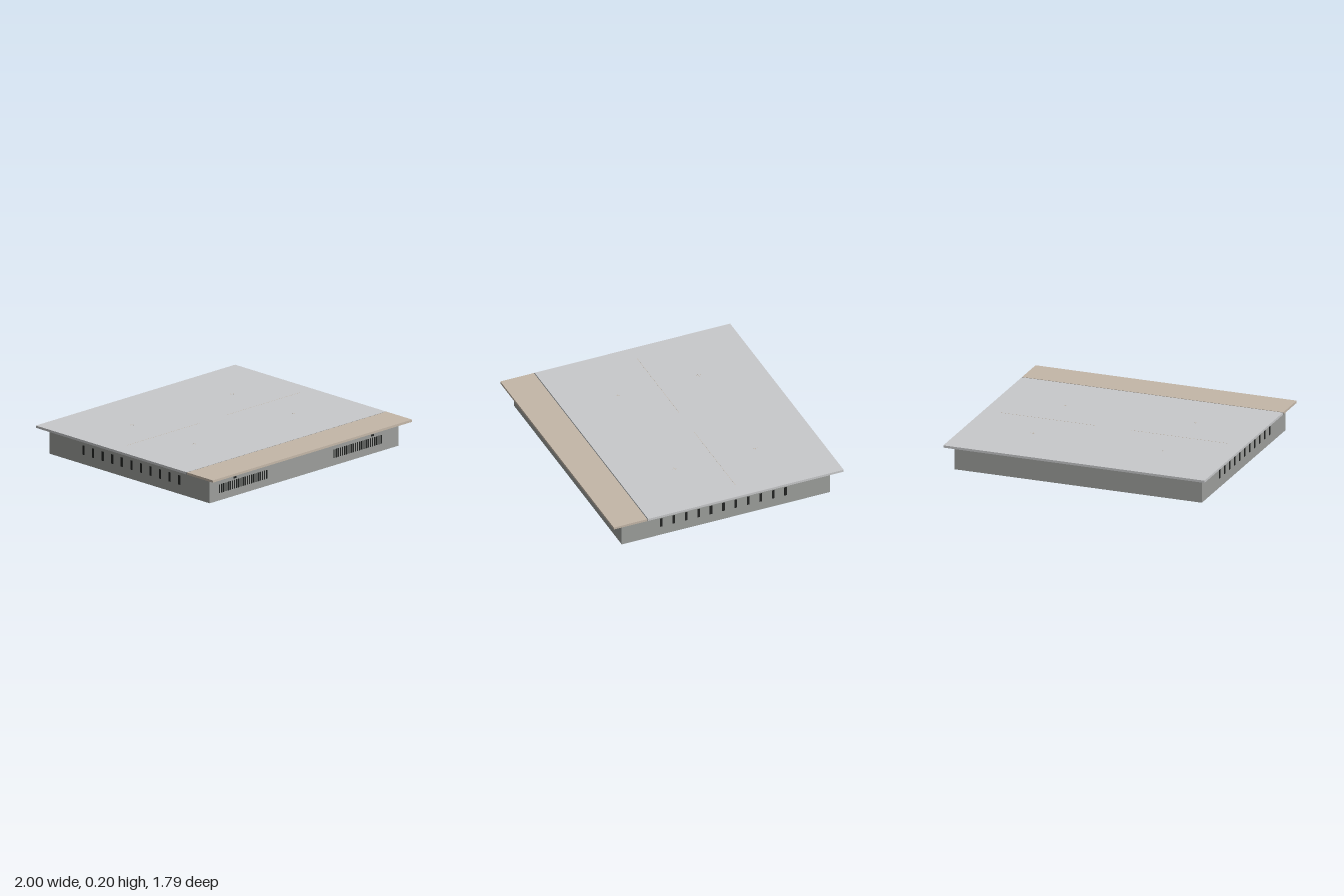
import * as THREE from 'three';

const paint = (name, color) => {
  const m = new THREE.MeshStandardMaterial({ color });
  m.name = name;
  return m;
};

export function createModel() {
  const model = new THREE.Group();
  model.name = 'builtInCooktop';
  const glass = paint('silverGlass', 0xc8c9cb);
  const tan = paint('tanGlass', 0xc4b7a8);
  const steel = paint('greySteel', 0x9c9e9b);
  const dark = paint('darkSlot', 0x222423);
  const seamGrey = paint('seamGrey', 0x5c6062);

  // Box given by its extents along each axis
  const box = (name, mat, [x0, x1], [y0, y1], [z0, z1], parent = model) => {
    const mesh = new THREE.Mesh(new THREE.BoxGeometry(x1 - x0, y1 - y0, z1 - z0), mat);
    mesh.position.set((x0 + x1) / 2, (y0 + y1) / 2, (z0 + z1) / 2);
    mesh.name = name;
    parent.add(mesh);
    return mesh;
  };
  const group = (name) => {
    const g = new THREE.Group();
    g.name = name;
    model.add(g);
    return g;
  };
  const around = (c, size) => [c - size / 2, c + size / 2];

  // Housing and the two-part top plate with a narrow seam
  const top = 0.203;
  box('housing', steel, [-0.947, 0.947], [0, 0.186], [-0.81, 0.81]);
  box('cookingSurface', glass, [-1, 1], [0.186, top], [-0.895, 0.628]);
  box('seam', seamGrey, [-1, 1], [0.186, top - 0.002], [0.628, 0.634]);
  box('controlStrip', tan, [-1, 1], [0.186, top], [0.634, 0.895]);

  // Front ventilation grilles, each with a small slot above
  const frontVents = group('frontVents');
  for (const [start, slotX] of [[-0.849, -0.695], [0.299, 0.685]]) {
    for (let i = 0; i < 23; i++) {
      box('frontVentSlot', dark, around(start + i * 0.0215, 0.011), [0.055, 0.12], [0.808, 0.812], frontVents);
    }
    box('upperSlot', dark, around(slotX, 0.032), [0.131, 0.145], [0.808, 0.812], frontVents);
  }

  // Side ventilation slots
  const sideVents = group('sideVents');
  for (const side of [-1, 1]) {
    for (let i = 0; i < 11; i++) {
      box('sideVentSlot', dark, around(side * 0.947, 0.004), [0.07, 0.14],
        around(0.502 - i * 0.0967, 0.02), sideVents);
    }
  }

  // Fine printed marks for the two cooking zones
  const marks = group('zoneMarks');
  const line = 0.002;
  const y = [top - 0.001, top + 0.0005];
  for (const cx of [-0.5, 0.5]) {
    box('zoneDivider', tan, around(cx, 0.74), y, around(-0.112, line), marks);
    for (const cz of [-0.425, 0.2]) {
      box('zoneCentreMark', tan, around(cx, 0.04), y, around(cz, line), marks);
      box('zoneCentreMark', tan, around(cx, line), y, around(cz, 0.04), marks);
    }
  }
  return model;
}
